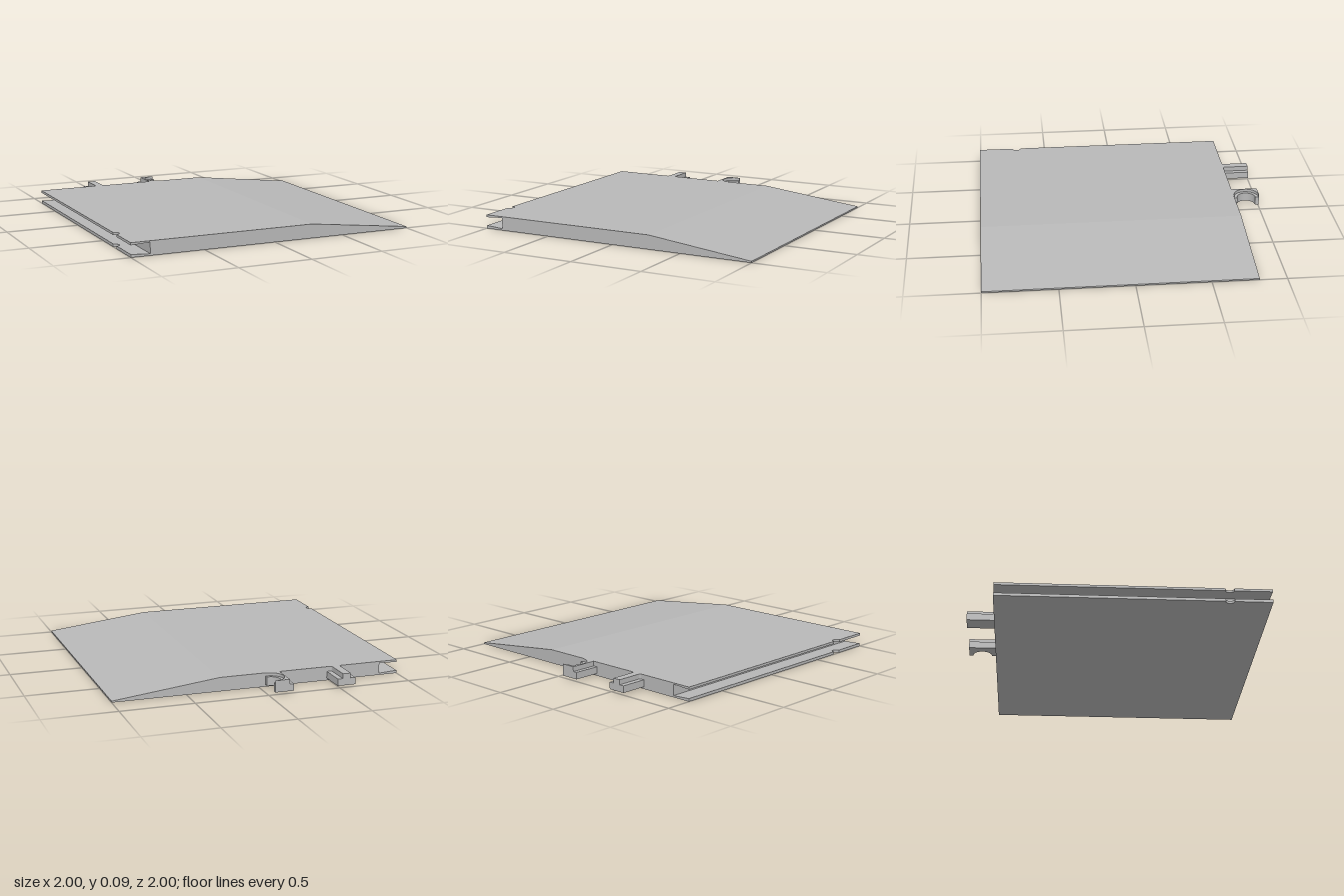
import * as THREE from 'three';

const BACK = -0.815; // z of the panel's rear edge
const SLOT = -0.87;  // x of the slot floor

// Extrude an outline drawn in (x, -z) upward from y0 to y1
function slab(shape, y0, y1) {
  const geo = new THREE.ExtrudeGeometry(shape, { depth: y1 - y0, bevelEnabled: false, curveSegments: 24 });
  geo.rotateX(-Math.PI / 2);
  geo.translate(0, y0, 0);
  return geo;
}

function polygon(points) {
  return new THREE.Shape(points.map(([x, y]) => new THREE.Vector2(x, y)));
}

// Lip outline with a half-round notch in its outer edge
function lipShape() {
  const s = new THREE.Shape();
  s.moveTo(-1, -1);
  s.lineTo(SLOT, -1);
  s.lineTo(SLOT, -BACK);
  s.lineTo(-1, -BACK);
  s.lineTo(-1, -0.69);
  s.absarc(-1, -0.72, 0.03, Math.PI / 2, -Math.PI / 2, true);
  s.closePath();
  return s;
}

// Lip whose lower and upper heights vary linearly from outer edge to slot floor
function lipGeometry(lowOuter, lowInner, highOuter, highInner) {
  const geo = slab(lipShape(), 0, 1);
  const p = geo.attributes.position;
  for (let i = 0; i < p.count; i++) {
    const t = (p.getX(i) + 1) / (SLOT + 1);
    const low = THREE.MathUtils.lerp(lowOuter, lowInner, t);
    const high = THREE.MathUtils.lerp(highOuter, highInner, t);
    p.setY(i, p.getY(i) > 0.5 ? high : low);
  }
  geo.computeVertexNormals();
  return geo;
}

// Bracket outline with a half-round bite out of its +x side
function bittenShape(x0, radius) {
  const x1 = -0.045, cz = 0.908;
  const s = new THREE.Shape();
  s.moveTo(x0, -BACK);
  s.lineTo(x1, -BACK);
  s.lineTo(x1, cz - radius);
  s.absarc(x1 - 0.005, cz, radius, -Math.PI / 2, Math.PI / 2, true);
  s.lineTo(x1, cz + radius);
  s.lineTo(x1, 1);
  s.lineTo(x0, 1);
  s.closePath();
  return s;
}

// Raised rail that flares where it meets the panel
function railShape() {
  const l = -0.575, r = -0.52, flare = 0.015;
  const s = new THREE.Shape();
  s.moveTo(l - flare, -BACK);
  s.lineTo(r + flare, -BACK);
  s.quadraticCurveTo(r, -BACK, r, -BACK + flare);
  s.lineTo(r, 1);
  s.lineTo(l, 1);
  s.lineTo(l, -BACK + flare);
  s.quadraticCurveTo(l, -BACK, l - flare, -BACK);
  return s;
}

export function createModel() {
  const model = new THREE.Group();
  model.name = 'rampPanel';
  const grey = new THREE.MeshStandardMaterial({ color: 0xb8b8b8 });
  grey.name = 'plain grey';

  const add = (parent, name, geo) => {
    const mesh = new THREE.Mesh(geo, grey);
    mesh.name = name;
    parent.add(mesh);
  };

  // Panel: flat top that slopes down to a thin edge
  const profile = polygon([[SLOT, 0], [1, 0], [1, 0.01], [0.27, 0.095], [SLOT, 0.095]]);
  const body = new THREE.ExtrudeGeometry(profile, { depth: 1 - BACK, bevelEnabled: false });
  body.translate(0, 0, BACK);
  add(model, 'panelBody', body);

  // Lips either side of the edge slot
  add(model, 'lowerLip', lipGeometry(0, 0, 0.02, 0.012));
  add(model, 'upperLip', lipGeometry(0.078, 0.086, 0.095, 0.095));

  // Stepped connector tab
  const tab = new THREE.Group();
  tab.name = 'railTab';
  const base = polygon([[-0.61, -BACK], [-0.485, -BACK], [-0.485, 1], [-0.61, 1]]);
  add(tab, 'railTabBase', slab(base, 0.015, 0.062));
  add(tab, 'railTabRidge', slab(railShape(), 0.062, 0.095));
  model.add(tab);

  // Connector tab with a half bore and a wider recess on top
  const clip = new THREE.Group();
  clip.name = 'boreTab';
  add(clip, 'boreTabBase', slab(bittenShape(-0.175, 0.065), 0.015, 0.062));
  add(clip, 'boreTabStep', slab(bittenShape(-0.145, 0.065), 0.062, 0.075));
  add(clip, 'boreTabRim', slab(bittenShape(-0.145, 0.088), 0.075, 0.095));
  model.add(clip);

  return model;
}
